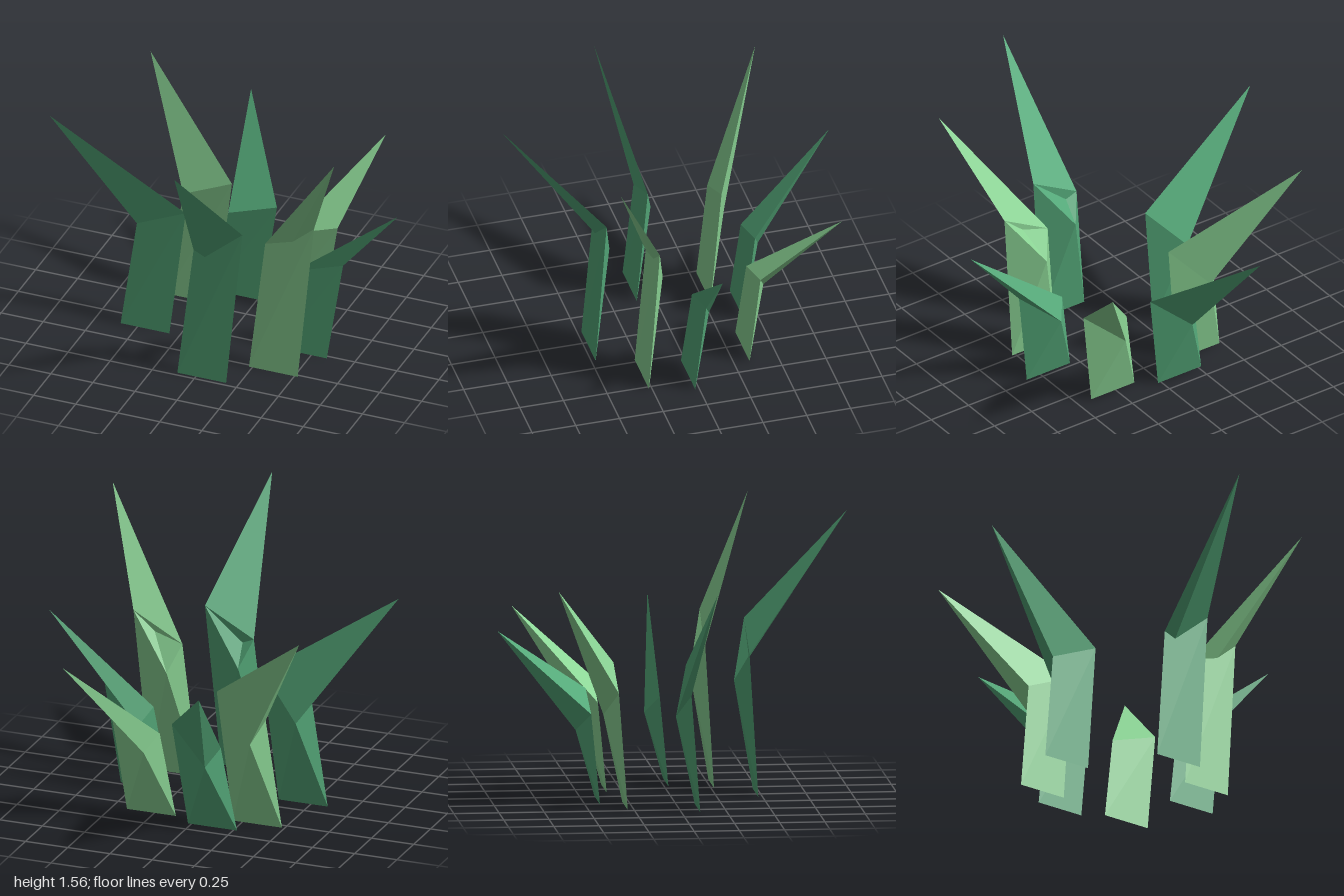
import * as THREE from 'three';

const green = new THREE.MeshStandardMaterial({ color: 0x55aa7a, flatShading: true, side: THREE.DoubleSide });
const lightGreen = new THREE.MeshStandardMaterial({ color: 0x8cd696, flatShading: true, side: THREE.DoubleSide });

// One folded blade: flat front, ridge at the back, pointed tip bent towards (tipX, tipZ)
function blade(name, x, z, height, tipX, tipZ, material) {
  const corners = [
    [x, 0, z],                                // 0 base left
    [x + 0.29, 0, z],                         // 1 base right
    [x + 0.37, height * 0.604, z - 0.04],     // 2 shoulder right
    [x + 0.08, height * 0.502, z - 0.04],     // 3 shoulder left
    [x + 0.142, height * 0.404, z - 0.12],    // 4 back ridge
    [tipX, height, tipZ],                     // 5 tip
  ];
  const faces = [
    0, 1, 2, 0, 2, 3,            // front
    1, 0, 4, 0, 3, 4, 2, 1, 4,   // back
    3, 2, 5, 4, 3, 5, 2, 4, 5,   // tip
  ];
  const geometry = new THREE.BufferGeometry();
  geometry.setAttribute('position',
    new THREE.Float32BufferAttribute(faces.flatMap((i) => corners[i]), 3));
  geometry.computeVertexNormals();
  const mesh = new THREE.Mesh(geometry, material);
  mesh.name = name;
  return mesh;
}

export function createModel() {
  const group = new THREE.Group();
  group.name = 'grassTuft';
  group.add(
    // tall blades
    blade('frontBlade', -0.11, 0.476, 1.56, 0.08, 0.985, green),
    blade('frontLeftBlade', 0.23, 0.267, 1.56, 0.84, 0.52, lightGreen),
    // medium blades
    blade('rightBlade', -0.60, 0.103, 1.267, -1.0, 0.155, green),
    blade('backRightBlade', -0.484, -0.286, 1.267, -0.75, -0.697, lightGreen),
    // short blades
    blade('backBlade', -0.27, -0.417, 0.976, -0.27, -0.985, green),
    blade('backLeftBlade', 0.123, -0.338, 0.976, 0.602, -0.815, lightGreen),
    blade('leftBlade', 0.303, 0.023, 0.976, 1.0, -0.02, green),
  );
  return group;
}
